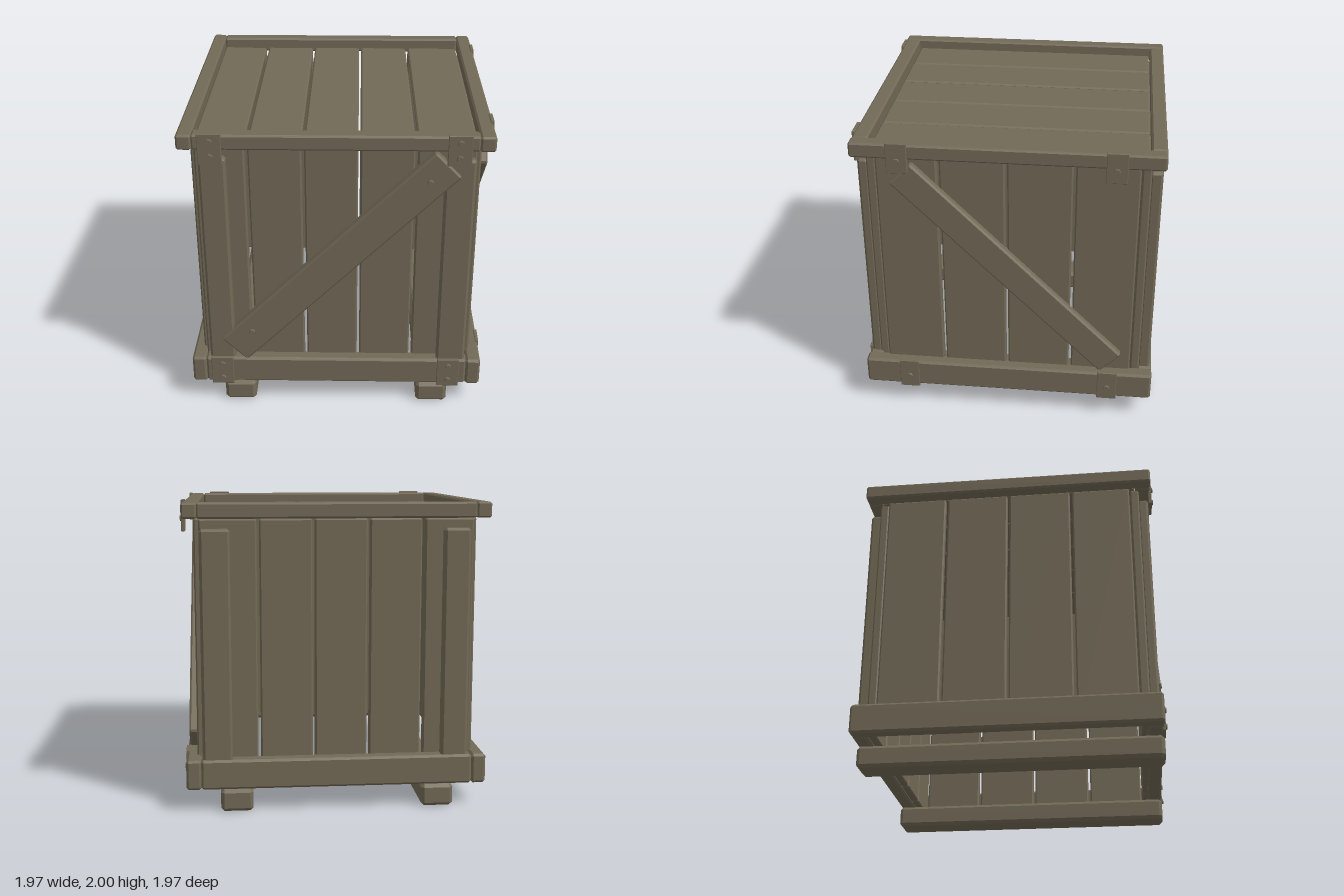
import * as THREE from 'three';
import { ConvexGeometry } from 'three/addons/geometries/ConvexGeometry.js';

const wood = new THREE.MeshStandardMaterial({ color: 0x726956 });
wood.name = 'weathered wood';

// Box with every edge chamfered by c
function chamferBox(w, h, d, c) {
  const points = [];
  for (const sx of [-1, 1]) for (const sy of [-1, 1]) for (const sz of [-1, 1]) {
    const [x, y, z] = [w / 2, h / 2, d / 2];
    points.push(new THREE.Vector3(sx * x, sy * (y - c), sz * (z - c)));
    points.push(new THREE.Vector3(sx * (x - c), sy * y, sz * (z - c)));
    points.push(new THREE.Vector3(sx * (x - c), sy * (y - c), sz * z));
  }
  return new ConvexGeometry(points);
}

export function createModel() {
  const model = new THREE.Group();
  model.name = 'crate';

  // Chamfered timber given by its extents along each axis
  function timber(name, [x0, x1], [y0, y1], [z0, z1], c = 0.01) {
    const mesh = new THREE.Mesh(chamferBox(x1 - x0, y1 - y0, z1 - z0, c), wood);
    mesh.position.set((x0 + x1) / 2, (y0 + y1) / 2, (z0 + z1) / 2);
    mesh.name = name;
    model.add(mesh);
    return mesh;
  }

  // Hexagonal bolt head facing +z, or +x when onSide is set
  const boltGeometry = new THREE.CylinderGeometry(0.019, 0.024, 0.014, 6);
  function bolt(x, y, z, onSide) {
    const mesh = new THREE.Mesh(boltGeometry, wood);
    mesh.position.set(x, y, z);
    if (onSide) mesh.rotation.z = -Math.PI / 2;
    else mesh.rotation.x = Math.PI / 2;
    mesh.name = 'bolt';
    model.add(mesh);
  }

  // Skids under the crate
  for (const x of [-0.665, 0.645]) {
    timber('skid', [x - 0.105, x + 0.105], [0, 0.147], [-0.985, 0.97], 0.022);
  }

  // Lower and upper frames: side rails run full depth, the others fit between
  for (const [level, y, c] of [['lower', [0.15, 0.345], 0.015], ['upper', [1.89, 1.99], 0.012]]) {
    timber(level + 'RightRail', [-0.985, -0.89], y, [-0.985, 0.97], c);
    timber(level + 'LeftRail', [0.873, 0.97], y, [-0.985, 0.97], c);
    timber(level + 'FrontRail', [-0.892, 0.875], y, [0.865, 0.965], c);
    timber(level + 'BackRail', [-0.892, 0.875], y, [-0.985, -0.887], c);
  }

  // Front and back wall planks, and the lid planks running front to back
  const edges = [[-0.89, -0.577], [-0.557, -0.222], [-0.205, 0.132], [0.147, 0.485], [0.502, 0.865]];
  const tilt = [0.02, 0, 0, 0.012, 0];
  edges.forEach((x, i) => {
    timber('frontPlank', x, [0.17, 1.885], [0.83, 0.89]);
    timber('backPlank', x, [0.17, 1.885], [-0.9, -0.84]);
    const lid = timber('lidPlank', x, [1.882, 1.922], [-0.882, 0.86]);
    lid.rotation.z = -tilt[i];
  });

  // Side wall planks
  for (const z of [[-0.835, -0.435], [-0.418, -0.007], [0.008, 0.42], [0.437, 0.825]]) {
    timber('leftPlank', [0.842, 0.9], [0.17, 1.885], z);
    timber('rightPlank', [-0.92, -0.862], [0.17, 1.885], z);
  }

  // Upright corner boards on the front and back
  for (const x of [[-0.86, -0.69], [0.67, 0.86]]) {
    timber('frontUpright', x, [0.33, 1.825], [0.88, 0.95], 0.015);
    timber('backUpright', x, [0.33, 1.825], [-0.97, -0.89], 0.015);
  }

  // Diagonal braces on the front and left side
  const frontBrace = new THREE.Mesh(chamferBox(1.96, 0.235, 0.075, 0.012), wood);
  frontBrace.name = 'frontBrace';
  frontBrace.position.set(0, 1.105, 0.926);
  frontBrace.rotation.z = Math.PI / 4;
  const leftBrace = new THREE.Mesh(chamferBox(0.06, 0.2, 1.93, 0.012), wood);
  leftBrace.name = 'leftBrace';
  leftBrace.position.set(0.925, 1.1, -0.02);
  leftBrace.rotation.x = -Math.PI / 4;
  model.add(frontBrace, leftBrace);
  bolt(-0.57, 0.56, 0.969);
  bolt(0.58, 1.68, 0.969);

  // Corner plates with bolts on the front and left side
  const plates = [
    { y: [0.14, 0.353], frontBolts: [0.19, 0.3], sideBolt: 0.23 },
    { y: [1.798, 2], frontBolts: [1.85, 1.95], sideBolt: 1.88 },
  ];
  for (const { y, frontBolts, sideBolt } of plates) {
    for (const x of [-0.78, 0.752]) {
      timber('frontPlate', [x - 0.074, x + 0.074], y, [0.955, 0.976], 0.003);
      for (const by of frontBolts) bolt(x, by, 0.98);
    }
    for (const z of [-0.686, 0.67]) {
      timber('leftPlate', [0.955, 0.978], y, [z - 0.066, z + 0.066], 0.003);
      bolt(0.981, sideBolt, z, true);
    }
  }

  return model;
}
